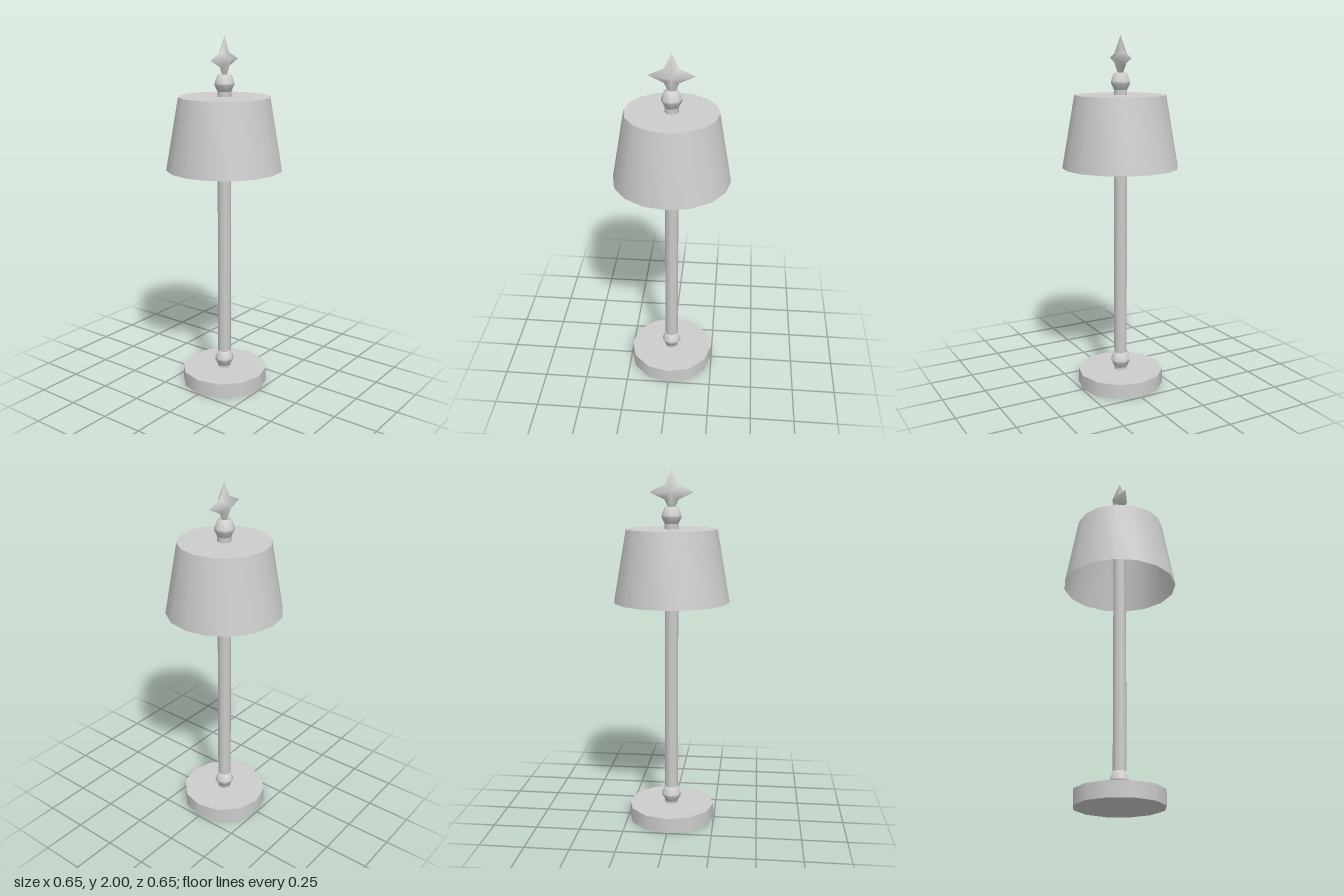
import * as THREE from 'three';
import { toCreasedNormals } from 'three/addons/utils/BufferGeometryUtils.js';

const grey = new THREE.MeshStandardMaterial({ color: 0xcccccc });
grey.name = 'grey';
const greyOpen = new THREE.MeshStandardMaterial({ color: 0xcccccc, side: THREE.DoubleSide });
greyOpen.name = 'grey open surface';

export function createModel() {
  const lamp = new THREE.Group();
  lamp.name = 'lamp';

  const add = (name, geometry, y = 0, material = grey) => {
    const mesh = new THREE.Mesh(geometry, material);
    mesh.name = name;
    mesh.position.y = y;
    lamp.add(mesh);
  };
  const lathe = (points, sides) =>
    new THREE.LatheGeometry(points.map(([r, y]) => new THREE.Vector2(r, y)), sides);

  // Twelve-sided foot
  add('base', new THREE.CylinderGeometry(0.246, 0.246, 0.085, 12), 0.0425);

  // Post running up through the shade
  add('pole', new THREE.CylinderGeometry(0.038, 0.038, 1.65, 8), 0.905);

  // Beads at the foot and above the shade
  const bead = [[0, -0.055], [0.033, -0.05], [0.055, -0.005], [0.055, 0.005], [0.038, 0.05], [0, 0.053]];
  add('lowerBead', lathe(bead, 8), 0.138);
  add('upperBead', lathe(bead, 8), 1.748);

  // Shade: closed on top, open below
  const shade = lathe([[0.324, 1.28], [0.253, 1.68], [0, 1.68]], 16);
  add('shade', toCreasedNormals(shade, 0.8), 0, greyOpen);

  // Four-pointed star: a rim of tips and notches joined to a raised centre on each side
  const rim = [];
  for (let i = 0; i < 8; i++) {
    const a = (i * Math.PI) / 4;
    const r = i % 2 ? 0.055 : 0.123;
    rim.push(Math.cos(a) * r, Math.sin(a) * r, 0);
  }
  for (const [name, z] of [['starFront', 0.047], ['starBack', -0.047]]) {
    const faces = [];
    for (let i = 0; i < 8; i++) {
      const j = (i + 1) % 8;
      faces.push(8, ...(z > 0 ? [i, j] : [j, i]));
    }
    const half = new THREE.BufferGeometry();
    half.setAttribute('position', new THREE.Float32BufferAttribute([...rim, 0, 0, z], 3));
    half.setIndex(faces);
    half.computeVertexNormals();
    add(name, half, 1.877);
  }

  return lamp;
}
